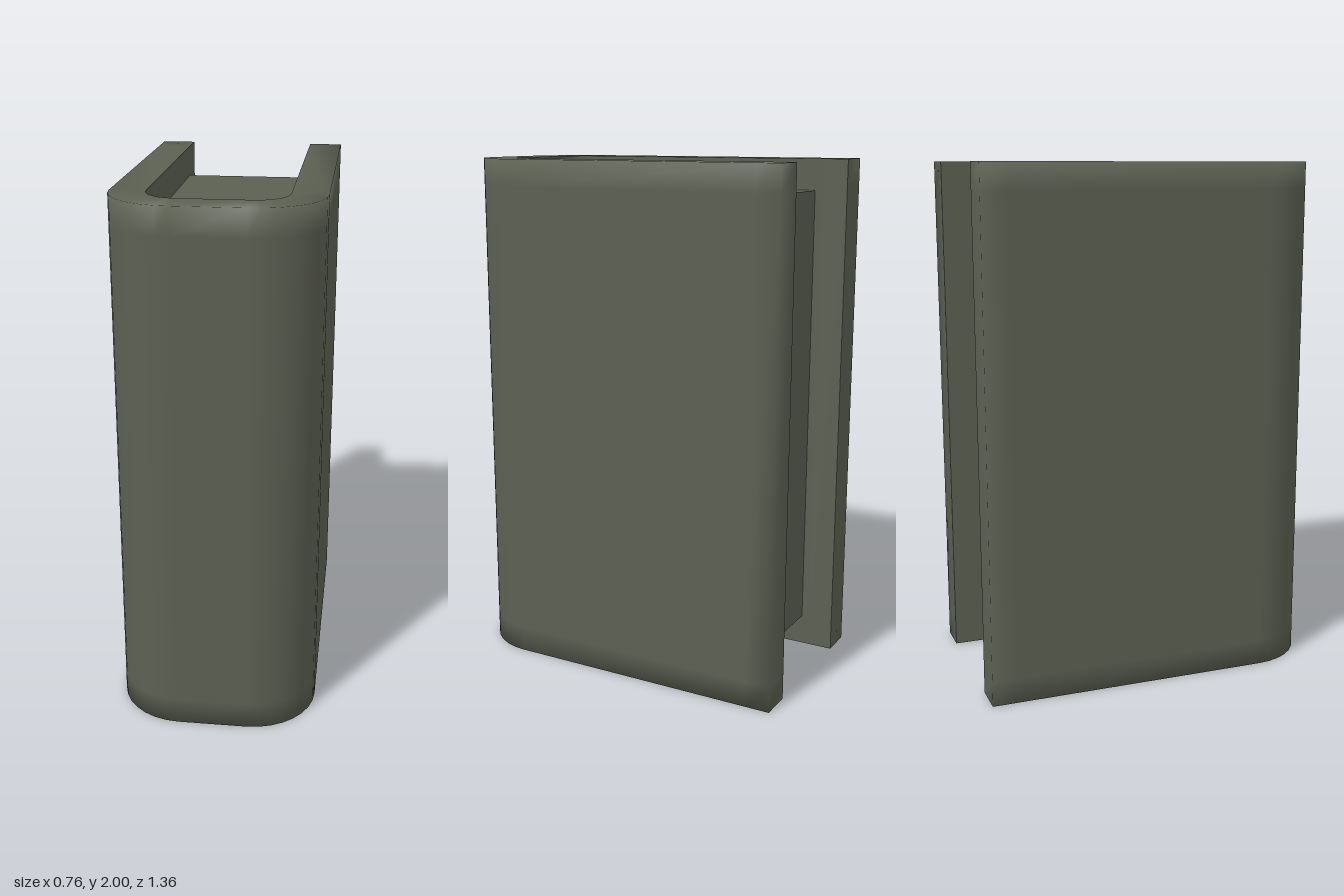
import * as THREE from 'three';
import { toCreasedNormals } from 'three/addons/utils/BufferGeometryUtils.js';

const HEIGHT = 2, SUPPORT = 0.1, BACK = -0.68;
const CX = 0.13, CZ = 0.43, OUTER_R = 0.25, INNER_R = 0.12, ARC = 8;

// U-shaped outline seen from above, from the left back end round the front to the right
function outline(radius, back, extra = []) {
  const half = [back, ...extra].map((z) => [CX + radius, z]);
  for (let i = 0; i <= ARC; i++) {
    const a = (i / ARC) * Math.PI / 2;
    half.push([CX + radius * Math.cos(a), CZ + radius * Math.sin(a)]);
  }
  return [...half, ...half.slice().reverse().map(([x, z]) => [-x, z])];
}

// Wall swept along the U: outer edges share normals so they shade softly, inner edges stay crisp
function shellGeometry() {
  const outer = outline(OUTER_R, BACK, [BACK + SUPPORT]);
  const inner = outline(INNER_R, BACK, [BACK + SUPPORT]);
  const levels = [0, SUPPORT, HEIGHT - SUPPORT, HEIGHT];
  const pos = [], index = [], ROW = 8;
  const quad = (a, b, c, d) => index.push(a, b, c, c, b, d);
  const put = ([x, z], y) => pos.push(x, y, z) / 3 - 1;

  outer.forEach((o, i) => {
    put(inner[i], 0);
    levels.forEach((y) => put(o, y));
    put(inner[i], HEIGHT);
    put(inner[i], HEIGHT);
    put(inner[i], 0);
  });
  const last = outer.length - 1;
  for (let i = 0; i < last; i++) {
    for (const j of [0, 1, 2, 3, 4, 6]) {
      const a = i * ROW + j;
      quad(a, a + 1, a + ROW, a + ROW + 1);
    }
  }

  // Back ends of the two side walls
  for (const i of [0, last]) {
    const cap = levels.map((y) => put(inner[i], y));
    for (let k = 0; k < 3; k++) {
      const o = i * ROW + 1 + k;
      if (i === 0) quad(cap[k], cap[k + 1], o, o + 1);
      else quad(o, o + 1, cap[k], cap[k + 1]);
    }
  }

  const geo = new THREE.BufferGeometry();
  geo.setAttribute('position', new THREE.Float32BufferAttribute(pos, 3));
  geo.setIndex(index);
  geo.computeVertexNormals();
  return geo;
}

// Solid core filling the U, set in from the top, bottom and back
function coreGeometry() {
  const inset = 0.12;
  const points = outline(INNER_R, -0.55).map(([x, z]) => new THREE.Vector2(x, -z));
  const geo = new THREE.ExtrudeGeometry(new THREE.Shape(points), {
    depth: HEIGHT - 2 * inset, bevelEnabled: false,
  });
  geo.rotateX(-Math.PI / 2);
  geo.translate(0, inset, 0);
  return toCreasedNormals(geo, 0.6);
}

export function createModel() {
  const group = new THREE.Group();
  const material = new THREE.MeshStandardMaterial({ color: 0x5c6052 });

  const shell = new THREE.Mesh(shellGeometry(), material);
  shell.name = 'shell';
  const core = new THREE.Mesh(coreGeometry(), material);
  core.name = 'core';

  group.add(shell, core);
  return group;
}
